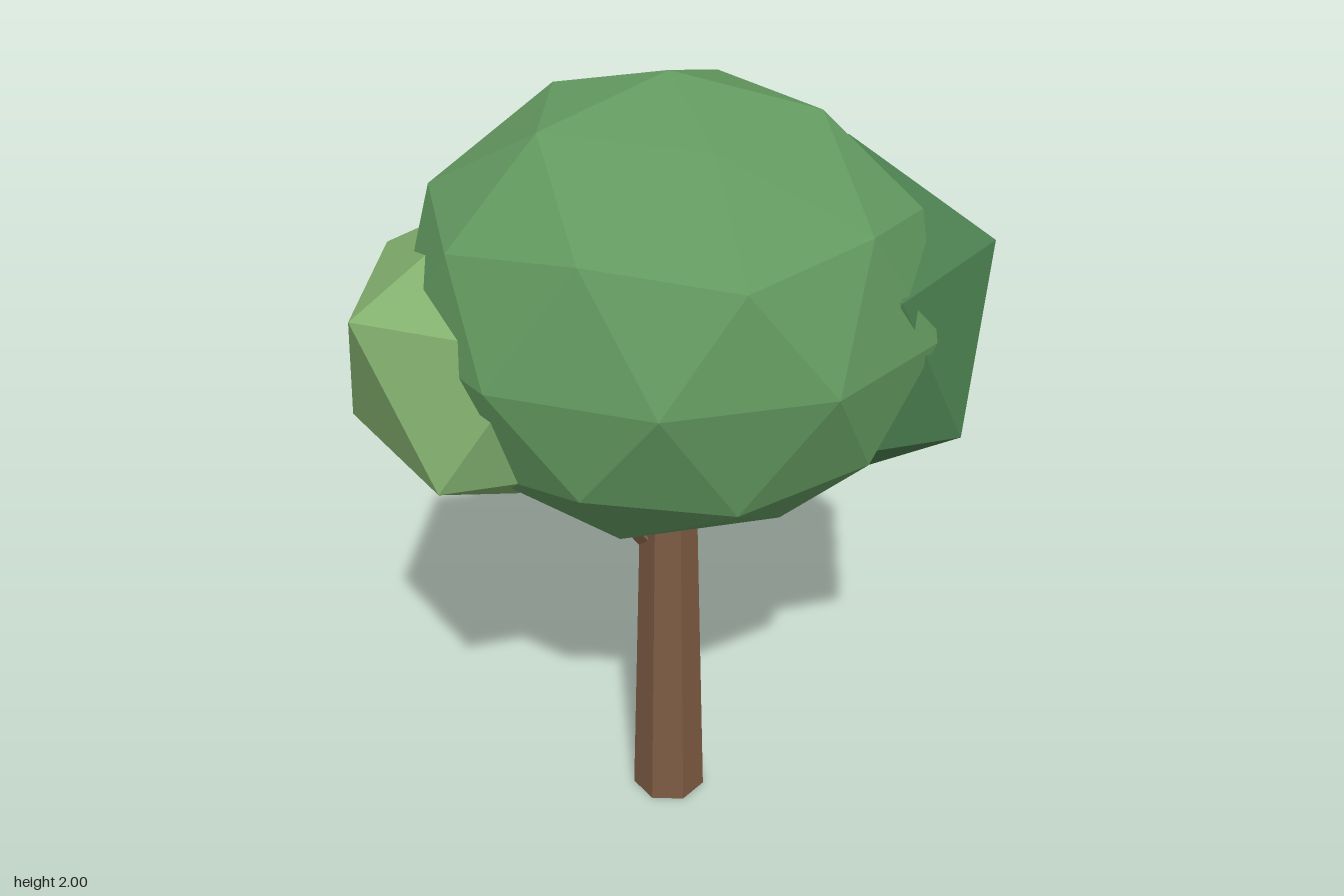
import * as THREE from 'three';

const mat = (color) => new THREE.MeshStandardMaterial({ color, flatShading: true });

// Faceted leaf ball with a corner at the very top, stretched to its radii
function leafBall(name, color, detail, radii, centre) {
  const geo = new THREE.IcosahedronGeometry(1, detail);
  geo.rotateZ(-Math.atan(2 / (1 + Math.sqrt(5))));
  geo.scale(...radii);
  geo.computeVertexNormals();
  const mesh = new THREE.Mesh(geo, mat(color));
  mesh.name = name;
  mesh.position.set(...centre);
  return mesh;
}

// Tapered faceted limb running from one point to another
function limb(name, material, from, to, r0, r1, sides, turn = 0) {
  const a = new THREE.Vector3(...from);
  const dir = new THREE.Vector3(...to).sub(a);
  const geo = new THREE.CylinderGeometry(r1, r0, dir.length(), sides);
  geo.rotateY(turn);
  geo.translate(0, dir.length() / 2, 0);
  const mesh = new THREE.Mesh(geo, material);
  mesh.name = name;
  mesh.position.copy(a);
  mesh.quaternion.setFromUnitVectors(new THREE.Vector3(0, 1, 0), dir.normalize());
  return mesh;
}

export function createModel() {
  const tree = new THREE.Group();
  tree.name = 'tree';
  const bark = mat(0x80603f);
  bark.color.set(0x7d5b42);

  // Trunk and the two branches that reach into the crown
  tree.add(
    limb('trunk', bark, [0, 0, 0], [0, 1.15, 0], 0.098, 0.066, 7, Math.PI),
    limb('rightBranch', bark, [-0.02, 0.79, 0], [-0.27, 1.09, 0.03], 0.045, 0.03, 5),
    limb('leftBranch', bark, [0.02, 0.84, -0.01], [0.27, 1.13, -0.03], 0.045, 0.03, 5)
  );

  // Crown: a large ball with a darker and a lighter cluster at its sides
  tree.add(
    leafBall('crown', 0x639a60, 1, [0.63, 0.55, 0.55], [0, 1.45, 0]),
    leafBall('leftCluster', 0x4c8050, 0, [0.395, 0.45, 0.41], [0.397, 1.38, -0.1]),
    leafBall('rightCluster', 0x83b06f, 0, [0.425, 0.39, 0.415], [-0.37, 1.355, 0.06])
  );
  return tree;
}
